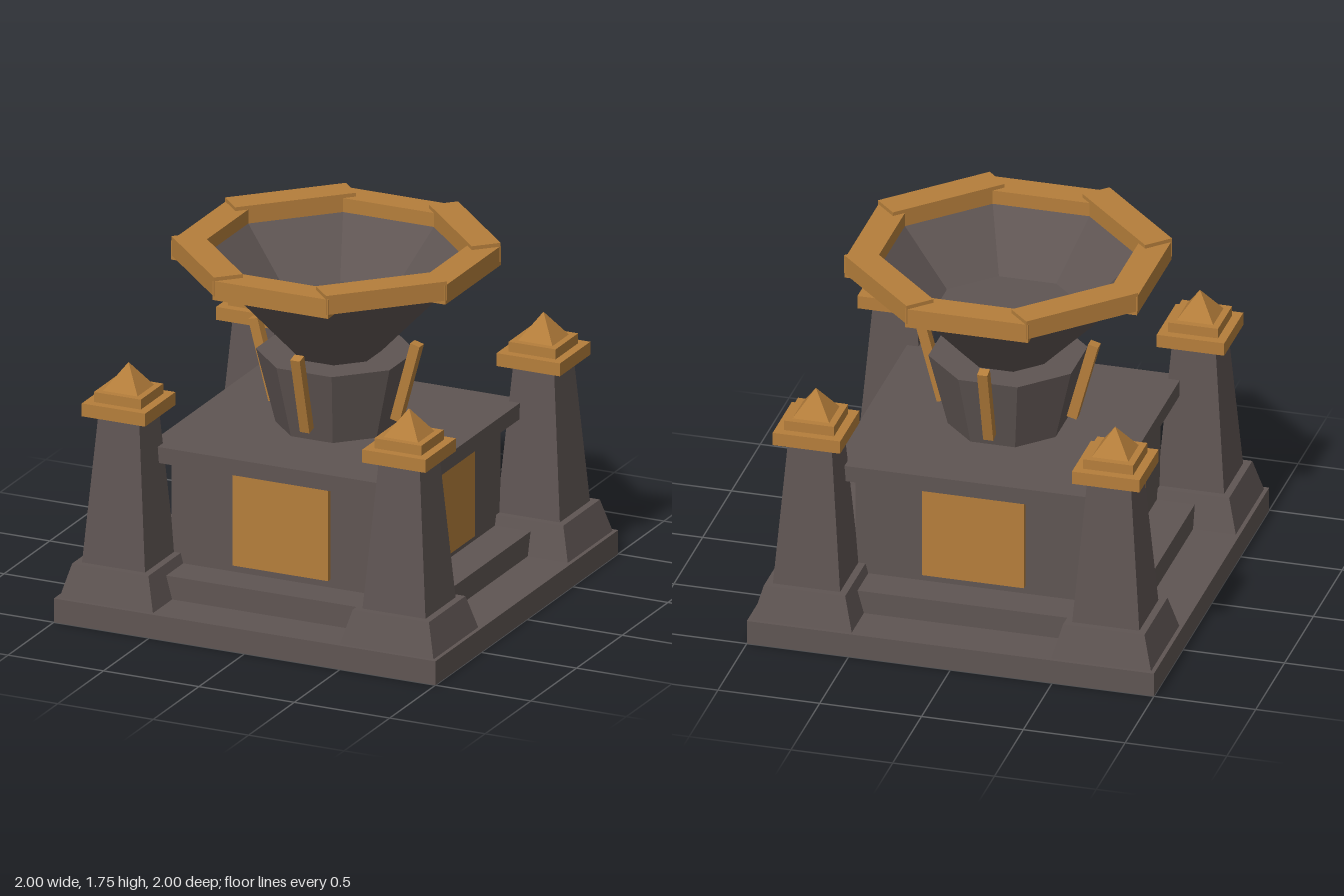
import * as THREE from 'three';

const stone = new THREE.MeshStandardMaterial({ color: 0x5f5553 });
stone.name = 'stone';
const gold = new THREE.MeshStandardMaterial({ color: 0xb57e3b });
gold.name = 'gold';

// Hard-edged facets for low-poly solids
function facet(geometry) {
  const g = geometry.index ? geometry.toNonIndexed() : geometry;
  g.computeVertexNormals();
  return g;
}

function add(parent, name, geometry, material, x = 0, y = 0, z = 0) {
  const mesh = new THREE.Mesh(geometry, material);
  mesh.name = name;
  mesh.position.set(x, y, z);
  parent.add(mesh);
  return mesh;
}

// Square block centred on the axis, from y0 to y1
function block(parent, name, half, y0, y1, material) {
  return add(parent, name, new THREE.BoxGeometry(half * 2, y1 - y0, half * 2), material, 0, (y0 + y1) / 2, 0);
}

// Tapered prism with flat sides facing the axes; sizes are centre-to-flat distances
function taper(parent, name, sides, bottom, top, y0, y1, material) {
  const k = 1 / Math.cos(Math.PI / sides);
  const g = new THREE.CylinderGeometry(top * k, bottom * k, y1 - y0, sides, 1, false, Math.PI / sides);
  return add(parent, name, facet(g), material, 0, (y0 + y1) / 2, 0);
}

function createPillar() {
  const pillar = new THREE.Group();
  pillar.name = 'cornerPillar';
  taper(pillar, 'pillarFoot', 4, 0.245, 0.2, 0.12, 0.285, stone);
  taper(pillar, 'pillarShaft', 4, 0.165, 0.107, 0.285, 1.02, stone);
  block(pillar, 'pillarCap', 0.166, 1.02, 1.085, gold);
  block(pillar, 'pillarUpperCap', 0.123, 1.085, 1.135, gold);
  const tip = new THREE.ConeGeometry(0.09 * Math.SQRT2, 0.13, 4, 1, false, Math.PI / 4);
  add(pillar, 'pillarTip', facet(tip), gold, 0, 1.2, 0);
  return pillar;
}

export function createModel() {
  const model = new THREE.Group();
  model.name = 'brazier';

  // Stepped base and altar
  block(model, 'basePlate', 1, 0, 0.12, stone);
  block(model, 'step', 0.77, 0.12, 0.235, stone);
  block(model, 'altarBody', 0.583, 0.235, 0.755, stone);
  block(model, 'altarTop', 0.67, 0.755, 0.835, stone);

  // Corner pillars
  for (const x of [-1, 1]) {
    for (const z of [-1, 1]) {
      const pillar = createPillar();
      pillar.position.set(x * 0.735, 0, z * 0.735);
      model.add(pillar);
    }
  }

  // Gold panel and leaning strut on each of the four sides
  for (let i = 0; i < 4; i++) {
    const side = new THREE.Group();
    side.name = 'sideOrnament';
    side.rotation.y = (i * Math.PI) / 2;
    add(side, 'panel', new THREE.BoxGeometry(0.5, 0.48, 0.03), gold, 0, 0.515, 0.593);
    const strut = add(side, 'strut', new THREE.BoxGeometry(0.05, 0.41, 0.05), gold, 0, 1.1, 0.372);
    strut.rotation.x = Math.PI / 12;
    model.add(side);
  }

  // Octagonal pedestal
  taper(model, 'pedestal', 8, 0.265, 0.35, 0.835, 1.2, stone);

  // Octagonal bowl: outer wall, lip, inner wall, floor
  const k = 1 / Math.cos(Math.PI / 8);
  const profile = [[0.2, 1.2], [0.655, 1.695], [0.6, 1.695], [0.34, 1.41], [0, 1.41]]
    .map(([r, y]) => new THREE.Vector2(r * k, y));
  add(model, 'bowl', facet(new THREE.LatheGeometry(profile, 8, Math.PI / 8)), stone);

  // Rim of eight overlapping bars, the diagonal ones sitting higher
  for (let i = 0; i < 8; i++) {
    const a = (i * Math.PI) / 4;
    const y = i % 2 ? 1.707 : 1.688;
    const bar = add(model, 'rimBar', new THREE.BoxGeometry(0.605, 0.096, 0.145), gold,
      Math.sin(a) * 0.646, y, Math.cos(a) * 0.646);
    bar.rotation.y = a;
  }

  return model;
}
